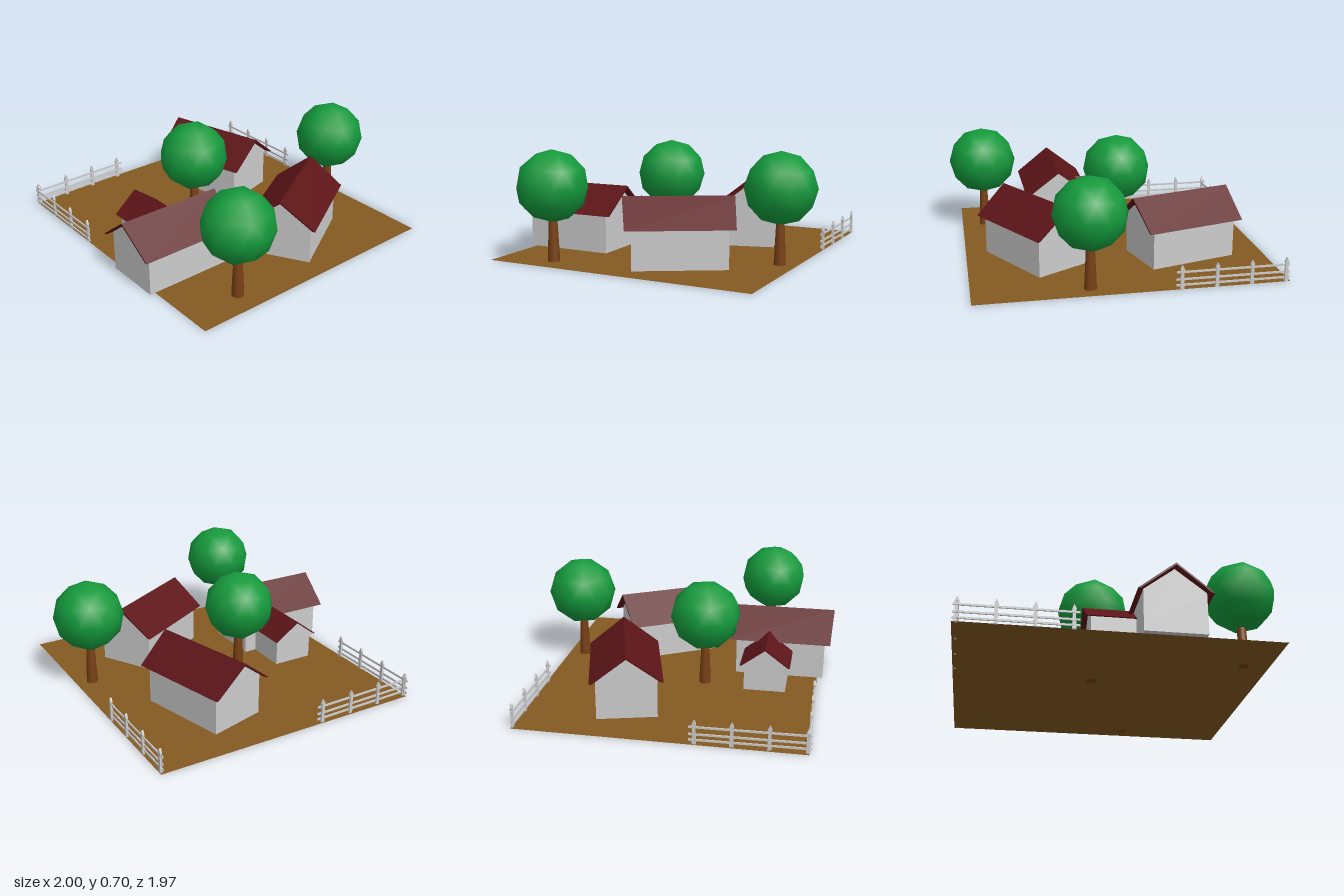
import * as THREE from 'three';

const mat = (color, side = THREE.FrontSide) => new THREE.MeshStandardMaterial({ color, side });

function add(parent, name, geometry, material, x = 0, y = 0, z = 0) {
  const mesh = new THREE.Mesh(geometry, material);
  mesh.name = name;
  mesh.position.set(x, y, z);
  parent.add(mesh);
  return mesh;
}

// Extrude an outline along z, centred on z = 0
function prism(points, depth) {
  const shape = new THREE.Shape(points.map(([x, y]) => new THREE.Vector2(x, y)));
  return new THREE.ExtrudeGeometry(shape, { depth, bevelEnabled: false }).translate(0, 0, -depth / 2);
}

export function createModel() {
  const model = new THREE.Group();
  model.name = 'farmyard';
  const grey = mat(0xcccccc);
  const roofRed = mat(0x5d1518, THREE.DoubleSide);
  const leafGreen = mat(0x149a3c);
  const barkBrown = mat(0x784014);
  const soil = mat(0x845a22, THREE.DoubleSide);

  // Ground sheet
  const ground = new THREE.PlaneGeometry(1.925, 1.775).rotateX(-Math.PI / 2);
  add(model, 'ground', ground, soil, -0.037, 0, 0.007);

  // Gabled house shapes, ridge along z
  const wallGeo = prism([[-0.188, 0.001], [0.188, 0.001], [0.188, 0.266], [0, 0.412], [-0.188, 0.266]], 0.586);
  const roofGeo = prism([[-0.225, 0.25], [-0.208, 0.25], [0, 0.411], [0.208, 0.25], [0.225, 0.25], [0, 0.425]], 0.666);
  // The ridge runs a little further out than the eaves
  const p = roofGeo.attributes.position;
  for (let i = 0; i < p.count; i++) {
    if (p.getY(i) > 0.4) p.setZ(i, p.getZ(i) * 1.042);
  }
  roofGeo.computeVertexNormals();

  function house(name, x, z, degrees, scale = 1) {
    const group = new THREE.Group();
    group.name = name;
    add(group, 'walls', wallGeo, grey);
    add(group, 'roof', roofGeo, roofRed);
    group.position.set(x, 0, z);
    group.rotation.y = THREE.MathUtils.degToRad(degrees);
    group.scale.setScalar(scale);
    model.add(group);
  }
  house('frontHouse', 0.256, 0.637, 0);
  house('frontHouseAnnex', 0.01, 0.563, 90, 0.72);
  house('leftHouse', -0.459, -0.3, 105);
  house('rightHouse', 0.479, -0.207, 30);

  // Round trees with tapered trunks
  const crownGeo = new THREE.IcosahedronGeometry(0.228, 1).rotateX(-1.0172);
  const trunkGeo = new THREE.CylinderGeometry(0.024, 0.039, 0.32, 10).translate(0, 0.16, 0);
  [[0.215, -0.77], [-0.125, 0.16], [0.768, 0.525]].forEach(([x, z]) => {
    const tree = new THREE.Group();
    tree.name = 'tree';
    add(tree, 'trunk', trunkGeo, barkBrown);
    add(tree, 'crown', crownGeo, leafGreen, 0, 0.475, 0);
    tree.position.set(x, 0, z);
    model.add(tree);
  });

  // Fences: four pointed pickets and three rails, running along +x
  const picketGeo = prism([[-0.012, 0], [0.012, 0], [0.009, 0.1], [0.013, 0.128], [0, 0.155], [-0.013, 0.128], [-0.009, 0.1]], 0.014);
  const railGeo = new THREE.BoxGeometry(0.71, 0.012, 0.008);
  function fence(name, x, z, degrees) {
    const group = new THREE.Group();
    group.name = name;
    for (let i = 0; i < 4; i++) add(group, 'picket', picketGeo, grey, 0.022 + i * 0.218, 0, 0);
    for (const y of [0.022, 0.058, 0.104]) add(group, 'rail', railGeo, grey, 0.355, y, 0.006);
    group.position.set(x, 0, z);
    group.rotation.y = THREE.MathUtils.degToRad(degrees);
    model.add(group);
  }
  fence('frontFence', -0.997, 0.89, 0);
  fence('backFence', -0.997, -0.872, 0);
  fence('leftFence', -0.973, 0.908, 91);

  return model;
}
